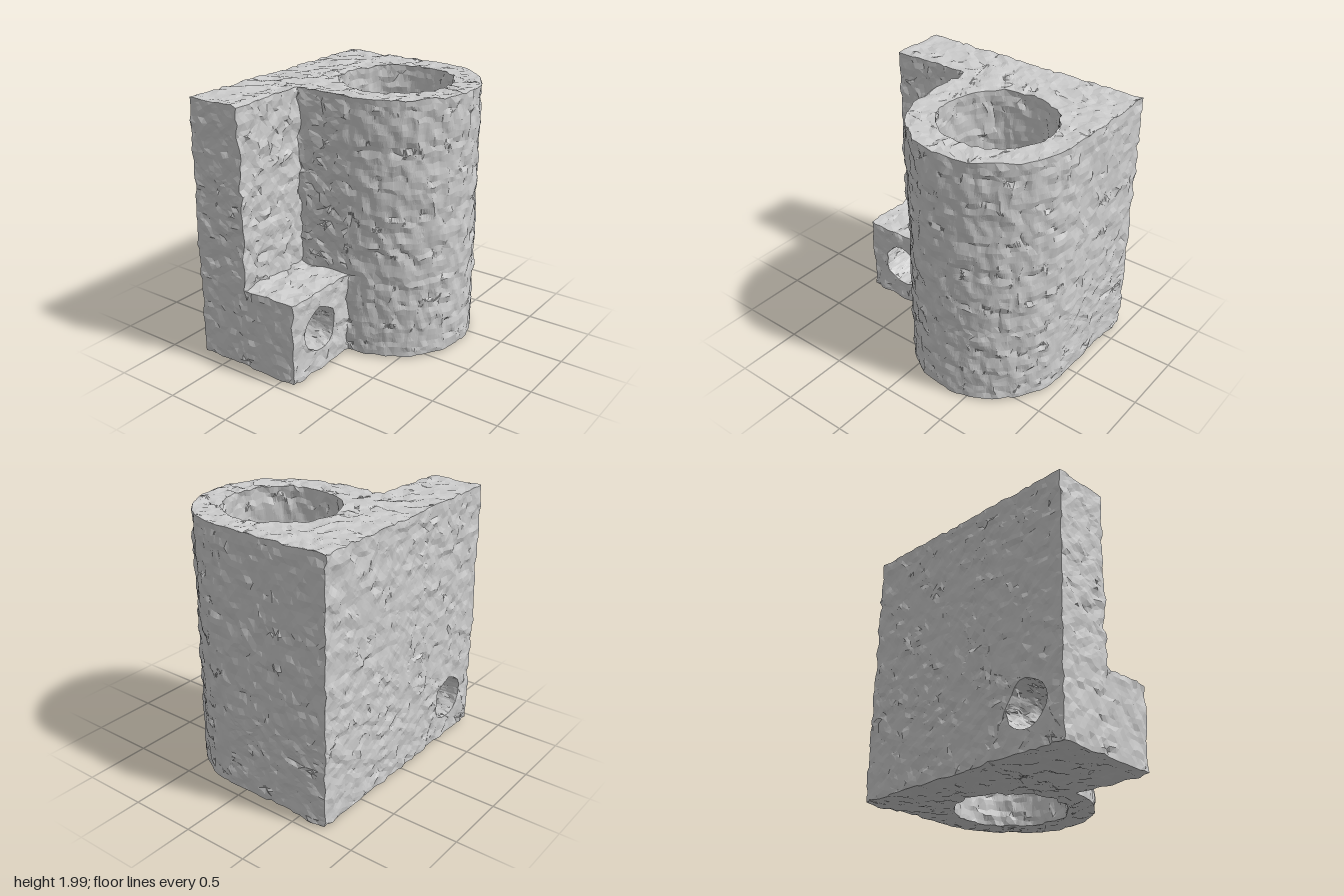
import * as THREE from 'three';

// Main dimensions
const Y0 = 0.022, YM = 0.642, Y1 = 1.98;               // bottom, foot top, top
const LEFT = -0.73, STEP = -0.298, ZF = 0.93;          // outer wall, wall inner side, front
const CX = 0.122, CZ = -0.316, R = 0.615, BORE = 0.418; // cylinder
const ZM = CZ + R;                                     // where the front wall begins
const HZ = 0.62, HY = 0.337, HR = 0.17;                // cross hole
const EDGE = 0.056, CELL = 0.05, ROUGH = 0.02;         // triangle, bump size and height

// True inside the solid; used to remove faces where parts meet
function inside(p) {
  if (p.y < Y0 || p.y > Y1 || p.x < LEFT || p.z > ZF || p.z < CZ - R) return false;
  if (p.z < ZM) {
    const d = Math.hypot(p.x - CX, p.z - CZ);
    return d > BORE && (p.x < CX || d < R);
  }
  if (Math.hypot(p.z - HZ, p.y - HY) < HR) return false;
  return p.x < STEP || (p.x < CX && p.y < YM);
}

// Repeatable value from -1 to 1 for a lattice point
function hash(i, j, k, channel) {
  let h = 374761393 * (channel + 1);
  for (const v of [i, j, k]) {
    h = Math.imul(h ^ v, 2654435761);
    h ^= h >>> 15;
  }
  h = Math.imul(h, 2246822519);
  h ^= h >>> 13;
  return (h >>> 0) / 4294967295 * 2 - 1;
}

// Continuous noise, so neighbouring corners move together and faces do not flip
function noise(p, channel) {
  const [x, y, z] = [p.x / CELL, p.y / CELL, p.z / CELL];
  const [i, j, k] = [Math.floor(x), Math.floor(y), Math.floor(z)];
  const { lerp } = THREE.MathUtils;
  const row = (b, c) => lerp(hash(i, b, c, channel), hash(i + 1, b, c, channel), x - i);
  const layer = (c) => lerp(row(j, c), row(j + 1, c), y - j);
  return lerp(layer(k), layer(k + 1), z - k);
}

const roughen = (p) => [
  p.x + ROUGH * noise(p, 0), p.y + ROUGH * noise(p, 1), p.z + ROUGH * noise(p, 2),
];

// Split long edges, drop hidden faces and make the surface rough
function rockSurface(geometry) {
  const src = geometry.index ? geometry.toNonIndexed() : geometry;
  const pos = src.attributes.position;
  const out = [];
  const n = new THREE.Vector3(), e = new THREE.Vector3();
  const split = (a, b, c) => {
    const m = a.clone().add(b).multiplyScalar(0.5);
    visit(a, m, c);
    visit(m, b, c);
  };
  const visit = (a, b, c) => {
    const ab = a.distanceTo(b), bc = b.distanceTo(c), ca = c.distanceTo(a);
    if (Math.max(ab, bc, ca) > EDGE) {
      if (ab >= bc && ab >= ca) split(a, b, c);
      else if (bc >= ca) split(b, c, a);
      else split(c, a, b);
      return;
    }
    n.subVectors(b, a).cross(e.subVectors(c, a)).normalize();
    const probe = a.clone().add(b).add(c).divideScalar(3).addScaledVector(n, 0.01);
    if (!inside(probe)) out.push(...roughen(a), ...roughen(b), ...roughen(c));
  };
  const at = (i) => new THREE.Vector3().fromBufferAttribute(pos, i);
  for (let i = 0; i < pos.count; i += 3) visit(at(i), at(i + 1), at(i + 2));
  const g = new THREE.BufferGeometry();
  g.setAttribute('position', new THREE.Float32BufferAttribute(out, 3));
  g.computeVertexNormals();
  return g;
}

// Plan of the cylinder joined to its square side, with the bore
function bodyLayer(y0, y1) {
  const s = new THREE.Shape();
  s.moveTo(LEFT, -ZM);
  s.lineTo(STEP, -ZM - 1e-6); // tiny offset keeps this corner in the caps
  s.absarc(CX, -CZ, R, -Math.PI / 2, Math.PI / 2, false);
  s.lineTo(LEFT, -CZ + R);
  s.closePath();
  s.holes.push(new THREE.Path().absarc(CX, -CZ, BORE, 0, Math.PI * 2, true));
  return new THREE.ExtrudeGeometry(s, { depth: y1 - y0, bevelEnabled: false, curveSegments: 18 })
    .rotateX(-Math.PI / 2).translate(0, y0, 0);
}

// Block in front of the cylinder, optionally drilled from side to side
function frontBlock(x0, x1, y0, y1, drilled) {
  const s = new THREE.Shape();
  s.moveTo(-ZF, y0);
  s.lineTo(-ZM, y0);
  s.lineTo(-ZM, y1);
  s.lineTo(-ZF, y1);
  s.closePath();
  if (drilled) s.holes.push(new THREE.Path().absarc(-HZ, HY, HR, 0, Math.PI * 2, true));
  return new THREE.ExtrudeGeometry(s, { depth: x1 - x0, bevelEnabled: false, curveSegments: 10 })
    .rotateY(Math.PI / 2).translate(x0, 0, 0);
}

export function createModel() {
  const group = new THREE.Group();
  group.name = 'roughHolder';
  const material = new THREE.MeshStandardMaterial({ color: 0xcccccc, flatShading: true });
  const parts = {
    lowerBody: bodyLayer(Y0, YM),
    upperBody: bodyLayer(YM, Y1),
    lowerWall: frontBlock(LEFT, STEP, Y0, YM, true),
    upperWall: frontBlock(LEFT, STEP, YM, Y1, false),
    drilledFoot: frontBlock(STEP, CX, Y0, YM, true),
  };
  for (const [name, geometry] of Object.entries(parts)) {
    const mesh = new THREE.Mesh(rockSurface(geometry), material);
    mesh.name = name;
    group.add(mesh);
  }
  return group;
}
